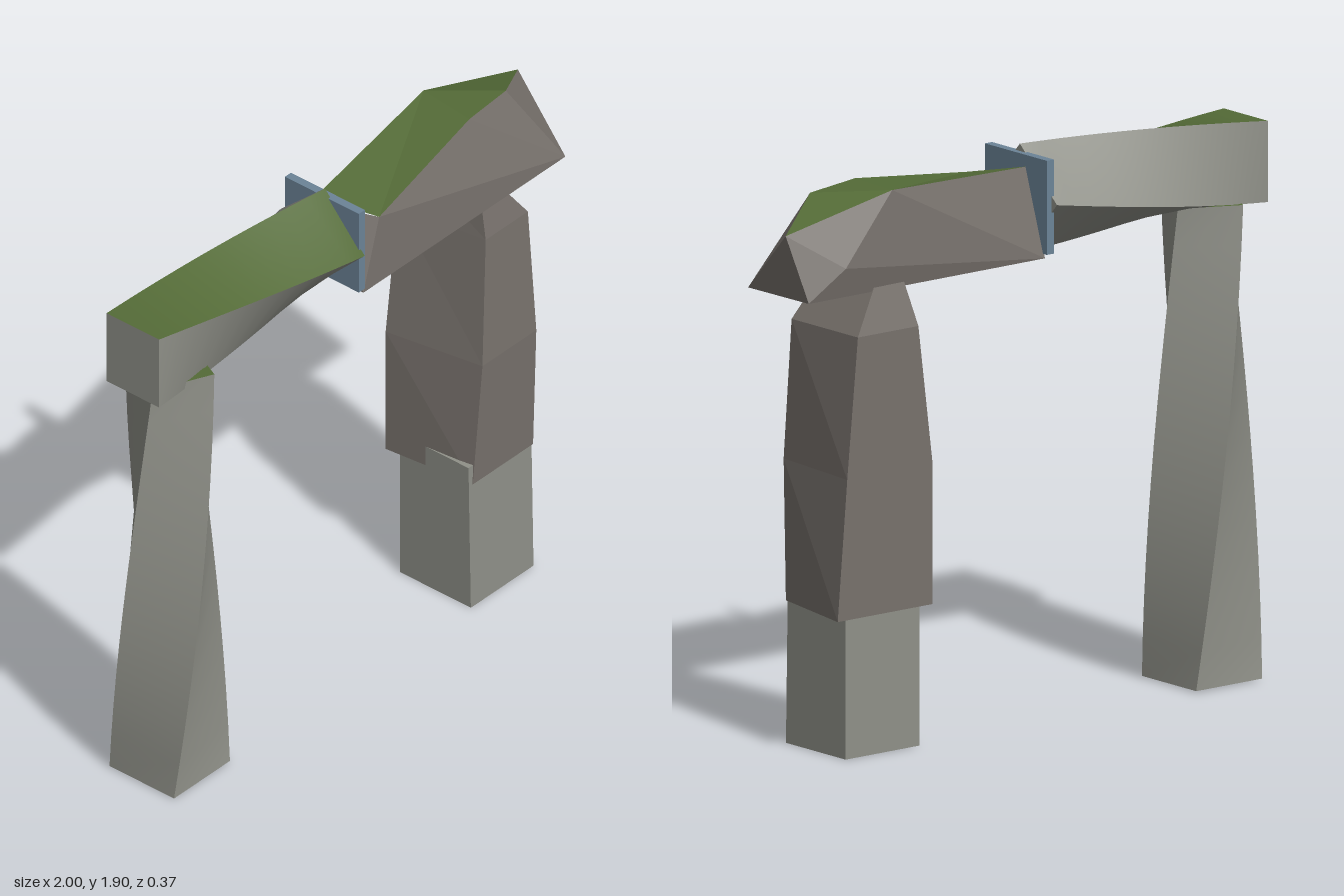
import * as THREE from 'three';

const material = (name, color) => {
  const m = new THREE.MeshStandardMaterial({ color });
  m.name = name;
  return m;
};

const lerp = THREE.MathUtils.lerp;

// Split a list of corner triangles/quads into a flat-faced geometry, turned outward from its middle
function facetGeometry(points, groups) {
  const pts = points.map((p) => new THREE.Vector3(...p));
  const middle = pts.reduce((s, p) => s.add(p), new THREE.Vector3()).divideScalar(pts.length);
  const out = [];
  const geometry = new THREE.BufferGeometry();
  groups.forEach((faces, slot) => {
    const start = out.length / 3;
    for (const face of faces) {
      for (let i = 1; i < face.length - 1; i++) {
        let [a, b, c] = [pts[face[0]], pts[face[i]], pts[face[i + 1]]];
        const n = b.clone().sub(a).cross(c.clone().sub(a));
        const centre = a.clone().add(b).add(c).divideScalar(3).sub(middle);
        if (n.dot(centre) < 0) [b, c] = [c, b];
        for (const p of [a, b, c]) out.push(p.x, p.y, p.z);
      }
    }
    geometry.addGroup(start, out.length / 3 - start, slot);
  });
  geometry.setAttribute('position', new THREE.Float32BufferAttribute(out, 3));
  geometry.computeVertexNormals();
  return geometry;
}

// Move every vertex of a unit box (corners at +-1) by a rule
function shapedBox(sx, sy, sz, rule) {
  const geometry = new THREE.BoxGeometry(2, 2, 2, sx, sy, sz);
  const pos = geometry.attributes.position;
  const v = new THREE.Vector3();
  for (let i = 0; i < pos.count; i++) {
    v.fromBufferAttribute(pos, i);
    rule(v);
    pos.setXYZ(i, v.x, v.y, v.z);
  }
  geometry.computeVertexNormals();
  return geometry;
}

export function createModel() {
  const group = new THREE.Group();
  group.name = 'stoneArch';

  const stone = material('lightStone', 0x8f9088);
  const rock = material('brownStone', 0x77716c);
  const moss = material('moss', 0x546b37);
  const slate = material('blueSlab', 0x6c8497);

  const add = (name, geometry, mat) => {
    const mesh = new THREE.Mesh(geometry, mat);
    mesh.name = name;
    group.add(mesh);
  };
  // Box face order: +x, -x, +y, -y, +z, -z
  const mossTopped = [stone, stone, moss, stone, stone, stone];

  // Right pillar: tapering square column twisted about its height
  add('rightPillar', shapedBox(1, 12, 1, (v) => {
    const t = (v.y + 1) / 2;
    const s = lerp(0.139, 0.11, t);
    const a = t * THREE.MathUtils.degToRad(65);
    const { x, z } = v;
    v.set(
      -0.813 + s * (x * Math.cos(a) + z * Math.sin(a)),
      lerp(0.005, 1.605, t),
      s * (-x * Math.sin(a) + z * Math.cos(a)),
    );
  }), mossTopped);

  // Right beam: square bar twisted about its length, mossy on top
  add('rightBeam', shapedBox(12, 1, 1, (v) => {
    const t = (v.x + 1) / 2;
    const y = v.y * lerp(0.136, 0.128, t);
    const z = v.z * lerp(0.113, 0.128, t);
    const a = t * THREE.MathUtils.degToRad(48);
    v.set(
      lerp(-1, -0.055, t),
      1.724 + y * Math.cos(a) - z * Math.sin(a),
      0.003 + y * Math.sin(a) + z * Math.cos(a),
    );
  }), mossTopped);

  // Thin slab between the two beams
  const slab = new THREE.BoxGeometry(0.03, 0.315, 0.318);
  slab.translate(-0.05, 1.7225, 0.008);
  add('middleSlab', slab, slate);

  // Left beam: rough faceted stone
  add('leftBeam', facetGeometry([
    [-0.04, 1.55, 0.165], [0.965, 1.55, 0.165], [0.96, 1.55, -0.14], [-0.04, 1.55, -0.135],
    [-0.04, 1.835, 0.04], [0.05, 1.80, 0.155], [0.58, 1.872, 0.085], [0.79, 1.86, 0.06],
    [1.0, 1.77, -0.07], [0.6, 1.875, -0.13], [-0.04, 1.84, -0.04], [0.82, 1.65, -0.16],
  ], [
    [[0, 1, 5], [1, 6, 5], [1, 7, 6], [1, 8, 7], [1, 2, 8], [8, 2, 11], [8, 11, 9], [11, 3, 9],
      [9, 3, 10], [2, 11, 3], [0, 1, 2, 3], [0, 4, 10, 3], [0, 5, 4]],
    [[4, 5, 10], [10, 5, 9], [5, 6, 9], [6, 7, 9], [7, 8, 9]],
  ]), [rock, moss]);

  // Left pillar: rock narrowing to the top; each ring is [y, back x0, x1, z, front x0, x1, z]
  const rings = [
    [0.48, 0.475, 0.875, -0.185, 0.51, 0.81, 0.16],
    [0.95, 0.475, 0.835, -0.185, 0.535, 0.803, 0.18],
    [1.42, 0.535, 0.79, -0.185, 0.58, 0.79, 0.155],
    [1.6, 0.565, 0.66, -0.13, 0.59, 0.66, 0.12],
  ];
  const points = [];
  const faces = [[0, 1, 2, 3], [12, 13, 14, 15]];
  rings.forEach(([y, b0, b1, bz, f0, f1, fz], r) => {
    points.push([b0, y, bz], [b1, y, bz], [f1, y, fz], [f0, y, fz]);
    if (r === 0) return;
    for (let i = 0; i < 4; i++) {
      const j = (i + 1) % 4;
      faces.push([r * 4 - 4 + i, r * 4 - 4 + j, r * 4 + j, r * 4 + i]);
    }
  });
  add('leftPillar', facetGeometry(points, [faces]), [rock]);

  // Left pillar's foot: plain block, its front leaning back slightly
  add('leftFoot', shapedBox(1, 1, 1, (v) => {
    const t = (v.y + 1) / 2;
    v.set(0.647 + v.x * 0.156, t * 0.555, v.z > 0 ? lerp(0.168, 0.158, t) : -0.138);
  }), stone);

  return group;
}
